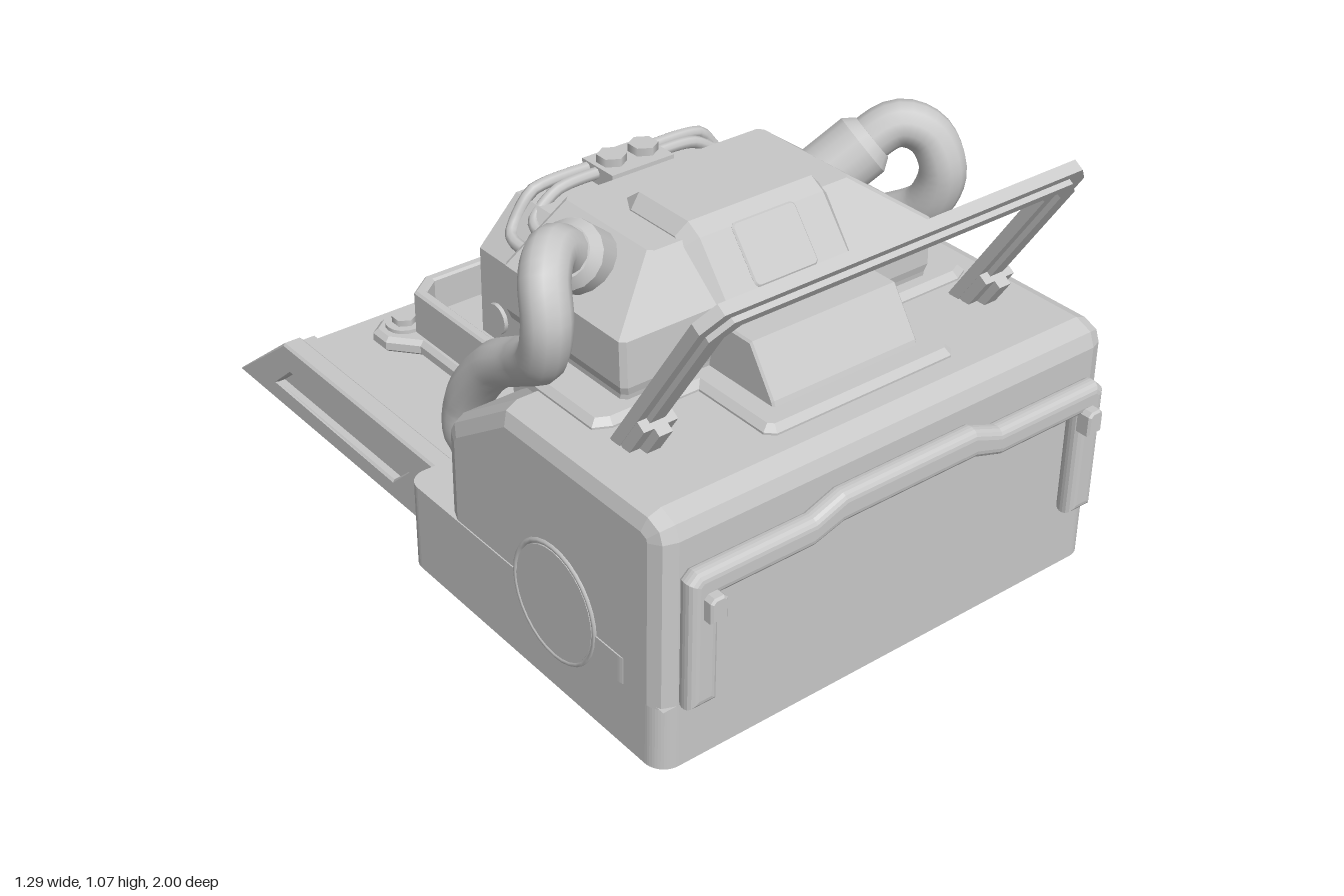
import * as THREE from 'three';

const grey = new THREE.MeshStandardMaterial({ color: 0xc8c8c8, side: THREE.DoubleSide });
grey.name = 'plain grey';

const poly = (pts) => new THREE.Shape(pts.map(([x, y]) => new THREE.Vector2(x, y)));
const hole = (shape, pts) => { shape.holes.push(poly(pts)); return shape; };
// mirror a half outline given from one end of the axis to the other
const sym = (half) => [...half, ...half.slice().reverse().map(([x, y]) => [-x, y])];

function roundRect(x0, x1, y0, y1, r) {
  const s = new THREE.Shape();
  s.absarc(x1 - r, y0 + r, r, -Math.PI / 2, 0);
  s.absarc(x1 - r, y1 - r, r, 0, Math.PI / 2);
  s.absarc(x0 + r, y1 - r, r, Math.PI / 2, Math.PI);
  s.absarc(x0 + r, y0 + r, r, Math.PI, Math.PI * 1.5);
  return s;
}

// extrusion centred on its depth, bevel kept inside the outline
function extrude(shape, depth, b = 0, seg = 1) {
  const g = new THREE.ExtrudeGeometry(shape, {
    depth: depth - 2 * b, bevelEnabled: b > 0, bevelSize: b, bevelThickness: b,
    bevelOffset: -b, bevelSegments: seg, curveSegments: 6,
  });
  return g.translate(0, 0, b - depth / 2);
}
// outline in (z, y), extruded along x
const side = (shape, width, b, seg) => extrude(shape, width, b, seg).rotateY(-Math.PI / 2);
// outline in (x, z), extruded from y0 to y1
const plan = (shape, y0, y1, b) => extrude(shape, y1 - y0, b).rotateX(Math.PI / 2).translate(0, (y0 + y1) / 2, 0);

function flat(out) {
  const n = new THREE.BufferGeometry();
  n.setAttribute('position', new THREE.Float32BufferAttribute(out, 3));
  n.computeVertexNormals();
  return n;
}

// remove the triangles that lie fully in the given level
function openAt(g, y) {
  const p = g.getAttribute('position').array, out = [];
  for (let i = 0; i < p.length; i += 9) {
    if ([1, 4, 7].every((k) => Math.abs(p[i + k] - y) < 0.002)) continue;
    for (let k = 0; k < 9; k++) out.push(p[i + k]);
  }
  return flat(out);
}

// stack of corner-cut rectangles: [y, half width, back z, front z]
function stack(levels, c) {
  const rings = levels.map(([y, x, a, b]) => [[x - c, a], [x, a + c], [x, b - c], [x - c, b],
    [c - x, b], [-x, b - c], [-x, a + c], [c - x, a]].map(([px, pz]) => [px, y, pz]));
  const out = [];
  for (let i = 0; i + 1 < rings.length; i++) {
    for (let k = 0; k < 8; k++) {
      const j = (k + 1) % 8, [r, u] = [rings[i], rings[i + 1]];
      out.push(...r[k], ...u[k], ...r[j], ...r[j], ...u[k], ...u[j]);
    }
  }
  const t = rings[rings.length - 1];
  for (let k = 1; k < 7; k++) out.push(...t[0], ...t[k + 1], ...t[k]);
  return flat(out);
}

const curve = (pts) => new THREE.CatmullRomCurve3(pts.map((p) => new THREE.Vector3(...p)), false, 'centripetal');

export function createModel() {
  const model = new THREE.Group();
  model.name = 'machine';
  const add = (name, geo, x = 0, y = 0, z = 0, parent = model) => {
    const m = new THREE.Mesh(geo, grey);
    m.name = name;
    m.position.set(x, y, z);
    parent.add(m);
    return m;
  };
  // cylinder running from a to b
  const rod = (name, a, b, r, n = 16, r2 = r) => {
    const A = new THREE.Vector3(...a), B = new THREE.Vector3(...b), d = B.clone().sub(A);
    const m = add(name, new THREE.CylinderGeometry(r2, r, d.length(), n));
    m.position.copy(A).lerp(B, 0.5);
    m.quaternion.setFromUnitVectors(new THREE.Vector3(0, 1, 0), d.normalize());
  };

  // hollow base skirt with inner ledges
  const skirt = (z1, y0, y1) => openAt(openAt(plan(roundRect(-0.642, 0.642, -0.015, z1, 0.05), y0, y1), y0), y1);
  add('baseSkirt', skirt(0.932, 0, 0.16));
  add('baseUpper', skirt(0.84, 0.16, 0.228));
  const ledge = hole(roundRect(-0.642, 0.642, -0.015, 0.84, 0.05), [[-0.62, 0.16], [0.62, 0.16], [0.62, 0.82], [-0.62, 0.82]]);
  add('baseLedge', new THREE.ShapeGeometry(ledge, 6).rotateX(Math.PI / 2), 0, 0.228, 0);
  add('frontLedge', new THREE.PlaneGeometry(1.26, 0.085).rotateX(-Math.PI / 2), 0, 0.16, 0.885);

  // main body, open below
  const bodySide = [[0.15, 0.11], [0.928, 0.11], [0.928, 0.575], [0.915, 0.61], [0.87, 0.628], [0.38, 0.628], [0.17, 0.485], [0.15, 0.45]];
  add('body', openAt(side(poly(bodySide), 1.278, 0.045, 2), 0.11));
  for (const s of [-1, 1]) {
    rod('sideDisc', [s * 0.59, 0.225, 0.565], [s * 0.643, 0.225, 0.565], 0.135, 32);
    add('sideRing', new THREE.TorusGeometry(0.143, 0.007, 6, 32).rotateY(Math.PI / 2), s * 0.638, 0.225, 0.565);
  }

  // raised deck and nose block on top of the body
  add('deckPlate', plan(poly(sym([[0.54, 0.3], [0.54, 0.57], [0.5, 0.59], [0.27, 0.59], [0.27, 0.8], [0.25, 0.82]])), 0.6, 0.648, 0.015));
  add('noseBlock', side(poly([[0.5, 0.62], [0.77, 0.62], [0.755, 0.66], [0.68, 0.77], [0.5, 0.77]]), 0.415, 0.005));

  // cowl, hatch and vents
  add('cowl', stack([[0.25, 0.44, 0.13, 0.5], [0.66, 0.44, 0.13, 0.55], [0.68, 0.445, 0.12, 0.555], [0.79, 0.445, 0.12, 0.55], [0.905, 0.285, 0.13, 0.44]], 0.012));
  add('hatch', side(poly([[0.21, 0.7], [0.585, 0.7], [0.585, 0.77], [0.47, 0.915], [0.43, 0.938], [0.26, 0.938], [0.21, 0.9]]), 0.41, 0.03));
  const vent = add('hatchVent', extrude(roundRect(-0.09, 0.09, -0.075, 0.075, 0.015), 0.01, 0.004), 0, 0.86, 0.513);
  vent.rotation.x = -0.67;
  add('rearSlot', new THREE.BoxGeometry(0.36, 0.03, 0.03), 0, 0.86, 0.125);

  // rear panel, set back towards its foot
  add('rearPanel', extrude(poly(sym([[0.365, 0.49], [0.365, 0.71], [0.26, 0.82]])), 0.23, 0.012), 0, 0, 0.015);
  add('rearPanelFoot', stack([[0.2, 0.29, -0.035, 0.13], [0.4, 0.29, -0.035, 0.13], [0.43, 0.32, -0.045, 0.13], [0.502, 0.363, -0.098, 0.13]], 0.012));
  for (const s of [-1, 1]) rod('panelKnob', [s * 0.34, 0.555, -0.02], [s * 0.375, 0.555, -0.02], 0.038, 12);

  // twin pipes joined by a bolted block
  for (const [r, y, z] of [[0.33, 0.755, -0.045], [0.29, 0.785, -0.01]]) {
    for (const s of [-1, 1]) {
      const path = curve([[s * r, y, 0.14], [s * r, y, z + 0.04], [s * (r - 0.02), y + 0.01, z + 0.01],
        [s * (r - 0.08), 0.835, z], [s * (r - 0.12), 0.845, z], [0, 0.845, z]]);
      add('pipe', new THREE.TubeGeometry(path, 24, 0.015, 8));
    }
  }
  add('pipeBlock', new THREE.BoxGeometry(0.18, 0.05, 0.115), 0, 0.84, -0.005);
  for (const s of [-1, 1]) {
    rod('blockBolt', [s * 0.046, 0.86, -0.008], [s * 0.046, 0.885, -0.008], 0.036, 6);
    rod('hoseCollar', [s * 0.33, 0.825, 0.295], [s * 0.42, 0.9, 0.335], 0.08, 16);
    rod('hoseCollarLip', [s * 0.42, 0.9, 0.335], [s * 0.44, 0.917, 0.344], 0.08, 16, 0.06);
    rod('lowerCollar', [s * 0.28, 0.285, 0.06], [s * 0.43, 0.285, 0.06], 0.064, 16);
    const hose = curve([[0.36, 0.285, 0.06], [0.46, 0.285, 0.06], [0.51, 0.33, 0.06], [0.52, 0.44, 0.075], [0.52, 0.59, 0.19],
      [0.53, 0.67, 0.32], [0.555, 0.74, 0.42], [0.565, 0.84, 0.455], [0.545, 0.925, 0.42], [0.49, 0.948, 0.37], [0.36, 0.85, 0.31]]
      .map(([x, y, z]) => [s * x, y, z]));
    add('hose', new THREE.TubeGeometry(hose, 60, 0.056, 12));
  }

  // leaning guard frame: flat behind, ribbed and footed on the front
  const frame = new THREE.Group();
  frame.name = 'guardFrame';
  frame.position.set(0, 0.62, 0.637);
  frame.rotation.x = Math.atan2(0.285, 0.44);
  model.add(frame);
  const guard = (o, top, i, inner) => poly([[-o, 0], [-o, top - 0.05], [0.04 - o, top], [o - 0.04, top], [o, top - 0.05], [o, 0],
    [i, 0], [i, inner - 0.03], [i - 0.03, inner], [0.03 - i, inner], [-i, inner - 0.03], [-i, 0]]);
  add('guardBar', extrude(guard(0.53, 0.522, 0.44, 0.455), 0.028), 0, 0, -0.006, frame);
  add('guardRib', extrude(guard(0.505, 0.5, 0.465, 0.475), 0.014), 0, 0, 0.014, frame);
  for (const s of [-1, 1]) {
    add('guardFoot', new THREE.BoxGeometry(0.088, 0.1, 0.03), s * 0.485, 0.07, 0.02, frame);
    add('guardClamp', new THREE.BoxGeometry(0.035, 0.1, 0.05), s * 0.485, 0.07, 0.03, frame);
  }

  // front bumper
  const bumper = sym([[0, 0.54], [0.19, 0.54], [0.27, 0.51], [0.575, 0.51], [0.597, 0.49], [0.597, 0.17], [0.52, 0.17],
    [0.52, 0.44], [0.27, 0.44], [0.19, 0.465], [0, 0.465]]).slice(0, -1);
  add('bumper', extrude(poly(bumper), 0.052, 0.022, 4), 0, 0, 0.949);
  for (const s of [-1, 1]) add('bumperCatch', extrude(poly([[-0.022, 0], [0.022, 0], [0.022, 0.05], [0.012, 0.06], [-0.012, 0.06], [-0.022, 0.05]]), 0.05, 0.005), s * 0.545, 0.4, 0.975);

  // rear ramp with slotted rails
  add('ramp', side(poly([[-0.01, 0.185], [-0.735, 0.185], [-0.97, 0], [-0.945, 0], [-0.72, 0.165], [-0.01, 0.165]]), 0.94));
  const slot = [[-0.165, 0.12], [-0.72, 0.12], [-0.8, 0.055], [-0.24, 0.055]];
  for (const s of [-1, 1]) {
    const outer = hole(poly([[-0.01, 0], [-0.01, 0.2], [-0.745, 0.2], [-1, 0]]), slot);
    const inner = hole(poly([[-0.01, 0], [-0.01, 0.192], [-0.742, 0.192], [-0.985, 0]]), slot);
    add('railOuter', side(outer, 0.055, 0.006), s * 0.5175, 0, 0);
    add('railInner', side(inner, 0.04), s * 0.475, 0, 0);
    add('railWeb', side(poly([[-0.14, 0.14], [-0.72, 0.14], [-0.82, 0.04], [-0.2, 0.04]]), 0.04), s * 0.5, 0, 0);
  }

  // tray on the ramp
  const flange = [[0.3, -0.665], [0.345, -0.63], [0.345, -0.57], [0.285, -0.5], [0.285, -0.23], [0.4, -0.2], [0.435, -0.16], [0.43, -0.06], [0.38, -0.02]];
  add('trayFlange', plan(poly(sym(flange)), 0.18, 0.225, 0.012));
  const wall = [[0.2, -0.6], [0.265, -0.55], [0.265, -0.2], [0.38, -0.19], [0.405, -0.16], [0.4, -0.06], [0.36, -0.03]];
  const well = [[0.19, -0.57], [0.235, -0.535], [0.235, -0.185], [0.26, -0.165], [0.35, -0.155], [0.37, -0.13], [0.365, -0.08], [0.34, -0.055]];
  add('trayWall', plan(hole(poly(sym(wall)), sym(well)), 0.2, 0.318, 0.006));
  add('trayFloor', plan(poly(sym(well)), 0.2, 0.25));
  const rim = [[0.235, -0.2], [0.235, -0.535], [0.19, -0.57], [-0.19, -0.57], [-0.235, -0.535], [-0.235, -0.2],
    [-0.265, -0.2], [-0.265, -0.55], [-0.2, -0.6], [0.2, -0.6], [0.265, -0.55], [0.265, -0.2]];
  add('trayRim', plan(poly(rim), 0.3, 0.345, 0.006));
  for (const s of [-1, 1]) {
    rod('trayWasher', [s * 0.268, 0.2, -0.6], [s * 0.268, 0.235, -0.6], 0.05, 16);
    rod('trayScrew', [s * 0.268, 0.23, -0.6], [s * 0.268, 0.252, -0.6], 0.032, 6);
  }
  return model;
}
